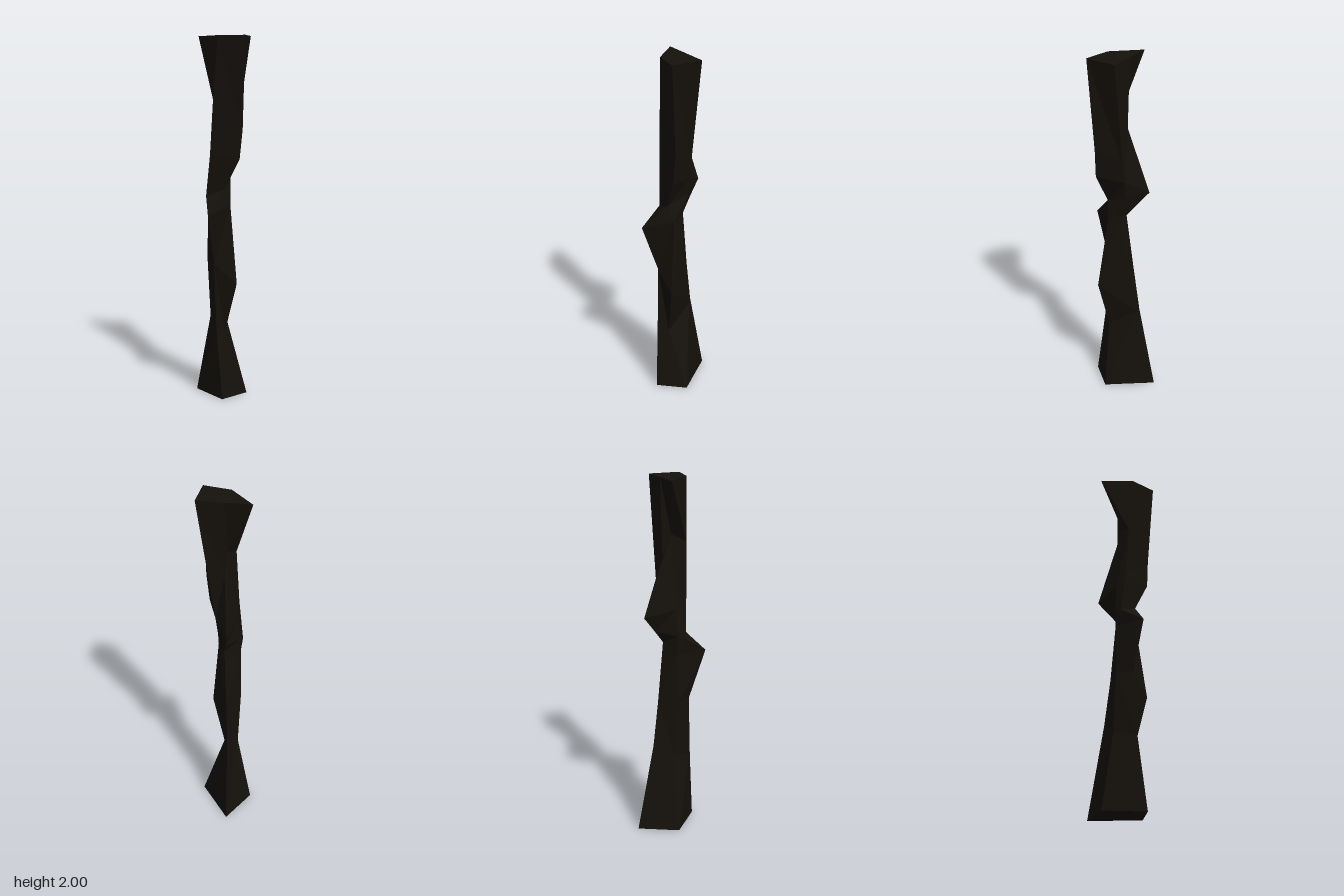
import * as THREE from 'three';

// Five-cornered cross-sections from the foot up: back, back-right, right, front, left corner as [x, y, z]
const RINGS = [
  [[-0.06, 0, -0.15], [0.175, 0, -0.165], [0.125, 0, -0.03], [0.075, 0, 0.108], [-0.103, 0, 0.08]],
  [[-0.02, 0.44, -0.08], [0.095, 0.5, -0.10], [0.09, 0.48, -0.085], [-0.03, 0.36, 0.035], [-0.095, 0.4, 0.03]],
  [[-0.05, 0.77, -0.075], [0.072, 0.76, -0.073], [0.06, 0.76, -0.04], [-0.015, 0.65, 0.11], [-0.09, 0.76, 0.01]],
  [[-0.035, 1.04, -0.075], [0.049, 1.1, -0.037], [0.045, 1.1, -0.005], [0, 1.08, 0.05], [-0.177, 1.04, 0.043]],
  [[-0.04, 1.15, -0.075], [0.086, 1.17, -0.077], [0.08, 1.22, -0.02], [-0.035, 1.17, 0.038], [-0.08, 1.13, -0.058]],
  [[-0.03, 1.3, -0.07], [0.135, 1.26, -0.132], [0.087, 1.32, -0.008], [-0.005, 1.34, 0.12], [-0.078, 1.36, -0.03]],
  [[0.005, 1.7, -0.026], [0.05, 1.58, -0.04], [0.093, 1.43, 0.007], [0.008, 1.5, 0.13], [-0.075, 1.66, -0.01]],
  [[-0.02, 2, -0.165], [0.06, 2, -0.045], [0.14, 2, 0.075], [-0.01, 2, 0.162], [-0.07, 2, 0.02]],
];

// Levels whose facets are split along the other diagonal
const FLIPPED_LEVELS = [1, 6];

// Skins consecutive rings and closes both ends
function loft(rings) {
  const n = rings[0].length;
  const index = [];
  for (let r = 0; r < rings.length - 1; r++) {
    for (let i = 0; i < n; i++) {
      const a = r * n + i, b = r * n + (i + 1) % n;
      if (FLIPPED_LEVELS.includes(r)) index.push(b, a, b + n, a, a + n, b + n);
      else index.push(b, a, a + n, b, a + n, b + n);
    }
  }
  const top = (rings.length - 1) * n;
  for (let i = 1; i < n - 1; i++) {
    index.push(0, i, i + 1);
    index.push(top, top + i + 1, top + i);
  }
  const indexed = new THREE.BufferGeometry();
  indexed.setAttribute('position', new THREE.Float32BufferAttribute(rings.flat(2), 3));
  indexed.setIndex(index);
  const geometry = indexed.toNonIndexed();
  geometry.computeVertexNormals();
  return geometry;
}

export function createModel() {
  const group = new THREE.Group();
  group.name = 'gnarledPost';

  // Dark faceted trunk with knots and a flared foot and head
  const bark = new THREE.MeshStandardMaterial({ color: 0x15110c, flatShading: true });
  const trunk = new THREE.Mesh(loft(RINGS), bark);
  trunk.name = 'trunk';
  group.add(trunk);

  return group;
}
